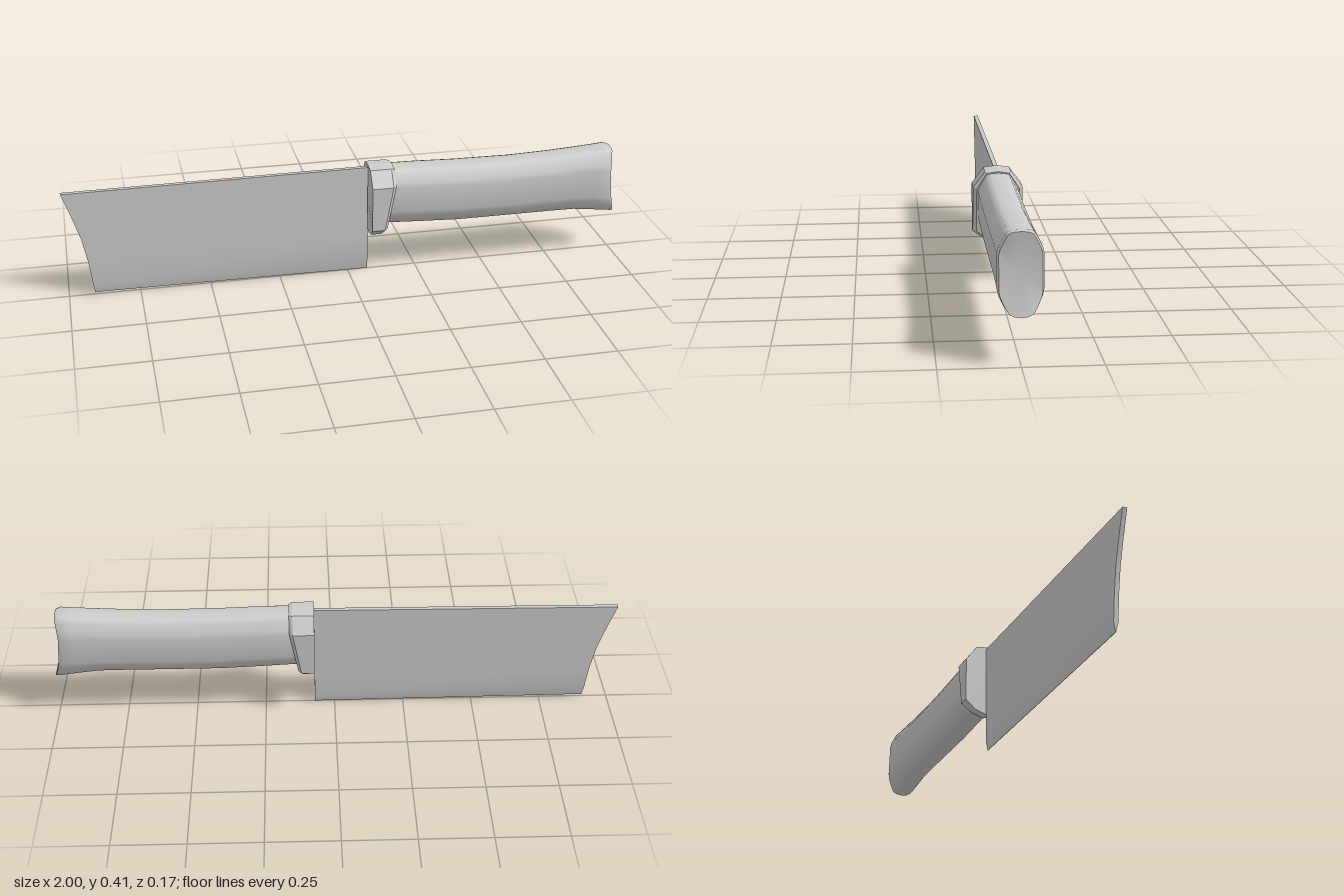
import * as THREE from 'three';
import { toCreasedNormals } from 'three/addons/utils/BufferGeometryUtils.js';

const material = new THREE.MeshStandardMaterial({ color: 0xcccccc });

// Skin a list of rings (each a list of [x, y, z], counter-clockwise seen from the last ring);
// the caps fan from the mean of the ring, or from endCentre.
function loft(name, rings, crease, endCentre) {
  const n = rings[0].length;
  const mean = (r) => [0, 1, 2].map((k) => r.reduce((s, p) => s + p[k], 0) / n);
  const first = rings[0], last = rings[rings.length - 1];
  const c0 = mean(first), c1 = endCentre || mean(last);
  const tri = [];
  for (let j = 0; j < n; j++) {
    const k = (j + 1) % n;
    for (let i = 0; i < rings.length - 1; i++) {
      const a = rings[i][j], b = rings[i][k], c = rings[i + 1][k], d = rings[i + 1][j];
      tri.push(a, b, c, a, c, d);
    }
    tri.push(c0, first[k], first[j], c1, last[j], last[k]);
  }
  const geo = new THREE.BufferGeometry();
  geo.setAttribute('position', new THREE.Float32BufferAttribute(tri.flat(), 3));
  const mesh = new THREE.Mesh(toCreasedNormals(geo, crease), material);
  mesh.name = name;
  return mesh;
}

// Mirror a half outline of [z, y], listed top to bottom with z >= 0, into a full loop facing +x
function mirrored(half) {
  const other = half.filter((p) => p[0] > 0).map(([z, y]) => [-z, y]).reverse();
  return [...half, ...other];
}

function createBlade() {
  // [height at tip, height at heel, tip x, half thickness], from cutting edge to spine
  const levels = [
    [0.008, 0, -0.91, 0.0008],
    [0.04, 0.035, -0.914, 0.008],
    [0.13, 0.13, -0.925, 0.008],
    [0.22, 0.22, -0.942, 0.008],
    [0.31, 0.31, -0.97, 0.008],
    [0.396, 0.402, -1, 0.008],
  ];
  const rings = levels.map(([yt, yh, x, t]) => [
    [x, yt, t], [0.072, yh, t], [0.072, yh, -t], [x, yt, -t],
  ]);
  return loft('blade', rings, 0.35);
}

function createBolster() {
  const outline = mirrored([
    [0, 0.411], [0.045, 0.405], [0.086, 0.35], [0.086, 0.187], [0.045, 0.155], [0, 0.141],
  ]);
  // The back face slants forward towards the bottom
  const backX = (y) => (y > 0.34 ? 0.161 : 0.122 + (y - 0.141) * 0.19);
  const front = outline.map(([z, y]) => [0.073 + (y < 0.18 ? 0.006 : 0), y, z]);
  const shoulder = outline.map(([z, y]) => [backX(y) - 0.012, y, z]);
  const back = outline.map(([z, y]) => [backX(y), 0.28 + (y - 0.28) * 0.97, z * 0.86]);
  return loft('bolster', [front, shoulder, back], 0.1);
}

function createHandle() {
  const section = mirrored([
    [0, 1], [0.35, 0.985], [0.56, 0.94], [0.69, 0.83], [0.93, 0.57], [1, 0.42],
    [1, -0.42], [0.93, -0.57], [0.75, -0.77], [0.56, -0.92], [0.32, -0.98], [0, -1],
  ]);
  // [x at top, x at bottom, top y, bottom y, half width]
  const stations = [
    [0.12, 0.1, 0.402, 0.189, 0.069],
    [0.25, 0.25, 0.4, 0.181, 0.07],
    [0.4, 0.4, 0.395, 0.174, 0.07],
    [0.6, 0.6, 0.393, 0.174, 0.07],
    [0.75, 0.75, 0.398, 0.174, 0.07],
    [0.85, 0.84, 0.404, 0.173, 0.07],
    [0.92, 0.91, 0.409, 0.164, 0.07],
    [0.965, 0.985, 0.413, 0.154, 0.07],
    [0.978, 1, 0.408, 0.152, 0.065],
  ];
  const rings = stations.map(([xt, xb, yt, yb, w], i) => section.map(([z, v]) => {
    const t = (v + 1) / 2;
    // The butt end is dished towards mid height
    const dish = i >= stations.length - 2 ? 0.022 * (1 - v * v) : 0;
    return [xb + (xt - xb) * t - dish, yb + (yt - yb) * t, z * w];
  }));
  return loft('handle', rings, 0.7, [0.962, 0.285, 0]);
}

export function createModel() {
  const model = new THREE.Group();
  model.name = 'cleaver';
  model.add(createBlade(), createBolster(), createHandle());
  return model;
}
